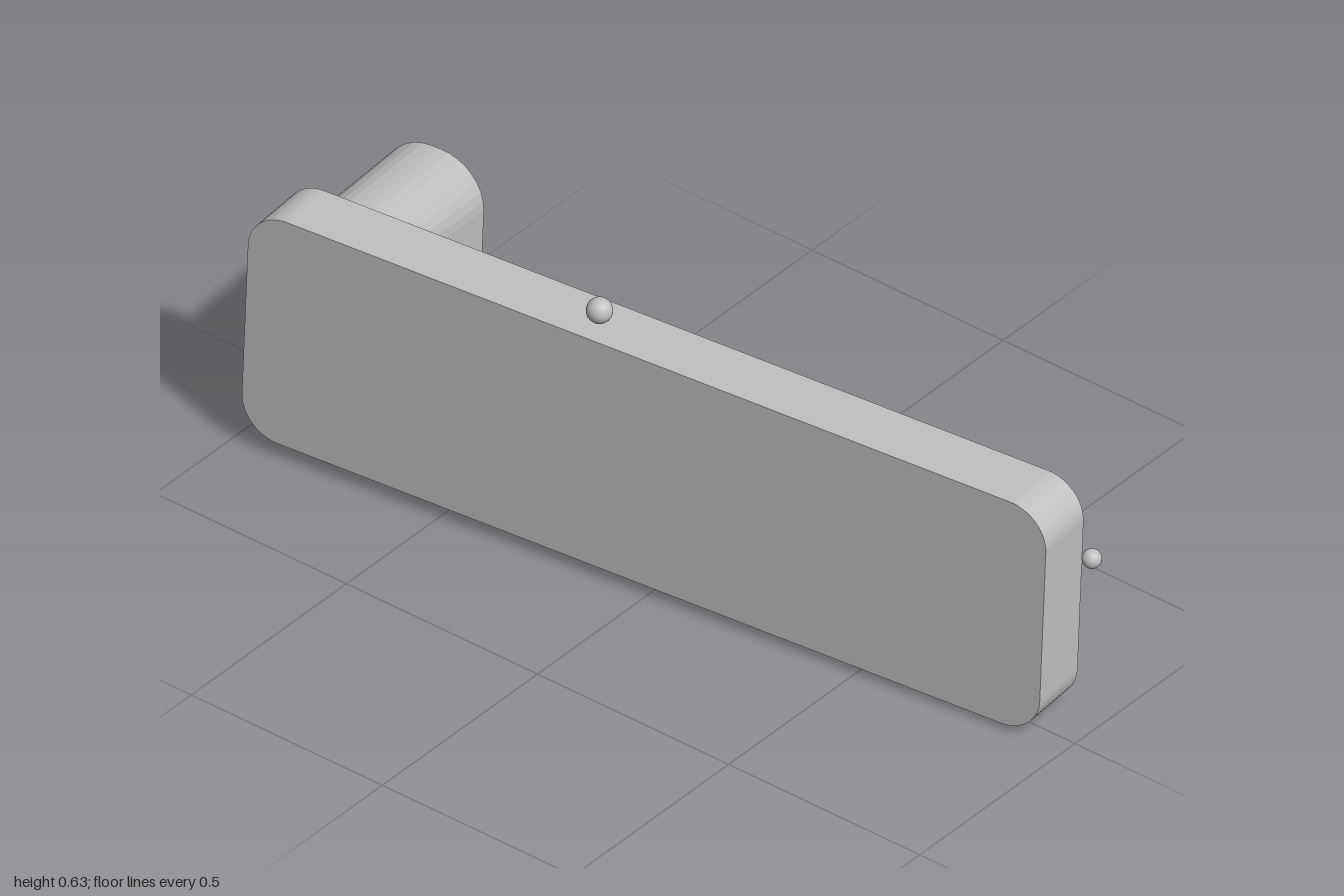
import * as THREE from 'three';

// Rounded rectangle outline, counter-clockwise; r0 rounds the low-x end, r1 the high-x end.
function outline(x0, x1, y0, y1, r0, r1 = r0, Type = THREE.Shape) {
  const s = new Type();
  const q = Math.PI / 2;
  s.moveTo(x0 + r0, y0);
  s.lineTo(x1 - r1, y0);
  s.absarc(x1 - r1, y0 + r1, r1, -q, 0, false);
  s.lineTo(x1, y1 - r1);
  s.absarc(x1 - r1, y1 - r1, r1, 0, q, false);
  s.lineTo(x0 + r0, y1);
  if (r0 > 0) s.absarc(x0 + r0, y1 - r0, r0, q, 2 * q, false);
  s.lineTo(x0, y0 + r0);
  if (r0 > 0) s.absarc(x0 + r0, y0 + r0, r0, 2 * q, 3 * q, false);
  return s;
}

const slab = (shape, z0, z1) => new THREE.ExtrudeGeometry(shape, {
  depth: z1 - z0, bevelEnabled: false, curveSegments: 8,
}).translate(0, 0, z0);

// Stadium-like ring of points around (cx, cy) at depth z, nine points per corner.
function ring([cx, cy, z, hx, hy], inset) {
  const r = 0.92 * (hx - inset);
  const dx = hx - inset - r, dy = hy - inset - r;
  const points = [];
  for (let corner = 0; corner < 4; corner++) {
    const sx = corner === 0 || corner === 3 ? 1 : -1;
    const sy = corner < 2 ? 1 : -1;
    for (let i = 0; i <= 8; i++) {
      const a = (corner + i / 8) * Math.PI / 2;
      points.push([cx + sx * dx + r * Math.cos(a), cy + sy * dy + r * Math.sin(a), z]);
    }
  }
  return points;
}

// Skin joining successive rings, with flat facets.
function loft(rings) {
  const pos = [];
  for (let k = 0; k < rings.length - 1; k++) {
    const a = rings[k], b = rings[k + 1], n = a.length;
    for (let i = 0; i < n; i++) {
      const j = (i + 1) % n;
      pos.push(...a[i], ...a[j], ...b[j], ...a[i], ...b[j], ...b[i]);
    }
  }
  const g = new THREE.BufferGeometry();
  g.setAttribute('position', new THREE.Float32BufferAttribute(pos, 3));
  g.computeVertexNormals();
  return g;
}

export function createModel() {
  const grey = new THREE.MeshStandardMaterial({ color: 0xc0c0c0 });
  grey.name = 'light grey';
  const model = new THREE.Group();
  model.name = 'pegTray';

  // Tilted frame: x runs to the back end, y up the tray, z out of its open side
  const body = new THREE.Group();
  body.name = 'body';
  const back = new THREE.Vector3(-0.111, 0.013, -0.994).normalize();
  const out = new THREE.Vector3(0.994, -0.042, -0.112);
  out.addScaledVector(back, -out.dot(back)).normalize();
  const up = new THREE.Vector3().crossVectors(out, back);
  body.quaternion.setFromRotationMatrix(new THREE.Matrix4().makeBasis(back, up, out));
  body.position.set(-0.139, 0.298, -0.015);
  model.add(body);

  const add = (parent, name, geometry) => {
    const m = new THREE.Mesh(geometry, grey);
    m.name = name;
    parent.add(m);
    return m;
  };

  // Shallow tray: floor and surrounding wall
  const L = 0.963, H = 0.271, wall = 0.02, depth = 0.142, r = 0.09;
  add(body, 'trayFloor', slab(outline(-L, L, -H, H, r), 0, wall));
  const rim = outline(-L, L, -H, H, r);
  rim.holes.push(outline(-L + wall, L - wall, -H + wall, H - wall, r - wall, r - wall, THREE.Path));
  add(body, 'trayWall', slab(rim, wall, depth));

  // Flared tube: centre x, y, depth and half sizes at both ends
  const root = [0.788, 0.033, 0.018, 0.11, 0.235];
  const mouth = [0.815, -0.034, 0.475, 0.12, 0.252];
  const t = 0.012;
  add(body, 'tube', loft([ring(root, 0), ring(mouth, 0), ring(mouth, t), ring(root, t)]));

  // Closed compartment around the tube root
  const lid = outline(0.685, L - 0.003, -H + 0.003, H - 0.003, 0, r);
  const f = 0.25;
  const [cx, cy, , hx, hy] = root.map((v, i) => v + (mouth[i] - v) * f);
  lid.holes.push(outline(cx - hx + 0.008, cx + hx - 0.008, cy - hy + 0.008, cy + hy - 0.008,
    0.095, 0.095, THREE.Path));
  add(body, 'compartmentLid', slab(lid, 0.132, depth + 0.0005));
  add(body, 'compartmentWall', new THREE.BoxGeometry(0.005, 2 * (H - wall), depth - wall))
    .position.set(0.6875, 0, (depth + wall) / 2);

  // Two rows of tapered pegs
  const rows = [
    { y: 0.112, base: 0.039, tip: 0.244 },
    { y: -0.159, base: 0.045, tip: 0.233 },
  ];
  for (const { y, base, tip } of rows) {
    const profile = [[base, 0.018], [0.02, tip - 0.02], [0.013, tip - 0.006], [0, tip]]
      .map(([a, b]) => new THREE.Vector2(a, b));
    const peg = new THREE.LatheGeometry(profile, 20).rotateX(Math.PI / 2);
    for (let i = 0; i < 6; i++) add(body, 'peg', peg).position.set(-0.435 + i * 0.193, y, 0);
  }

  // Loose balls beside the tray
  add(model, 'topBall', new THREE.SphereGeometry(0.028, 20, 14)).position.set(-0.085, 0.602, -0.175);
  add(model, 'frontBall', new THREE.SphereGeometry(0.021, 20, 14)).position.set(0.08, 0.411, 0.979);

  return model;
}
